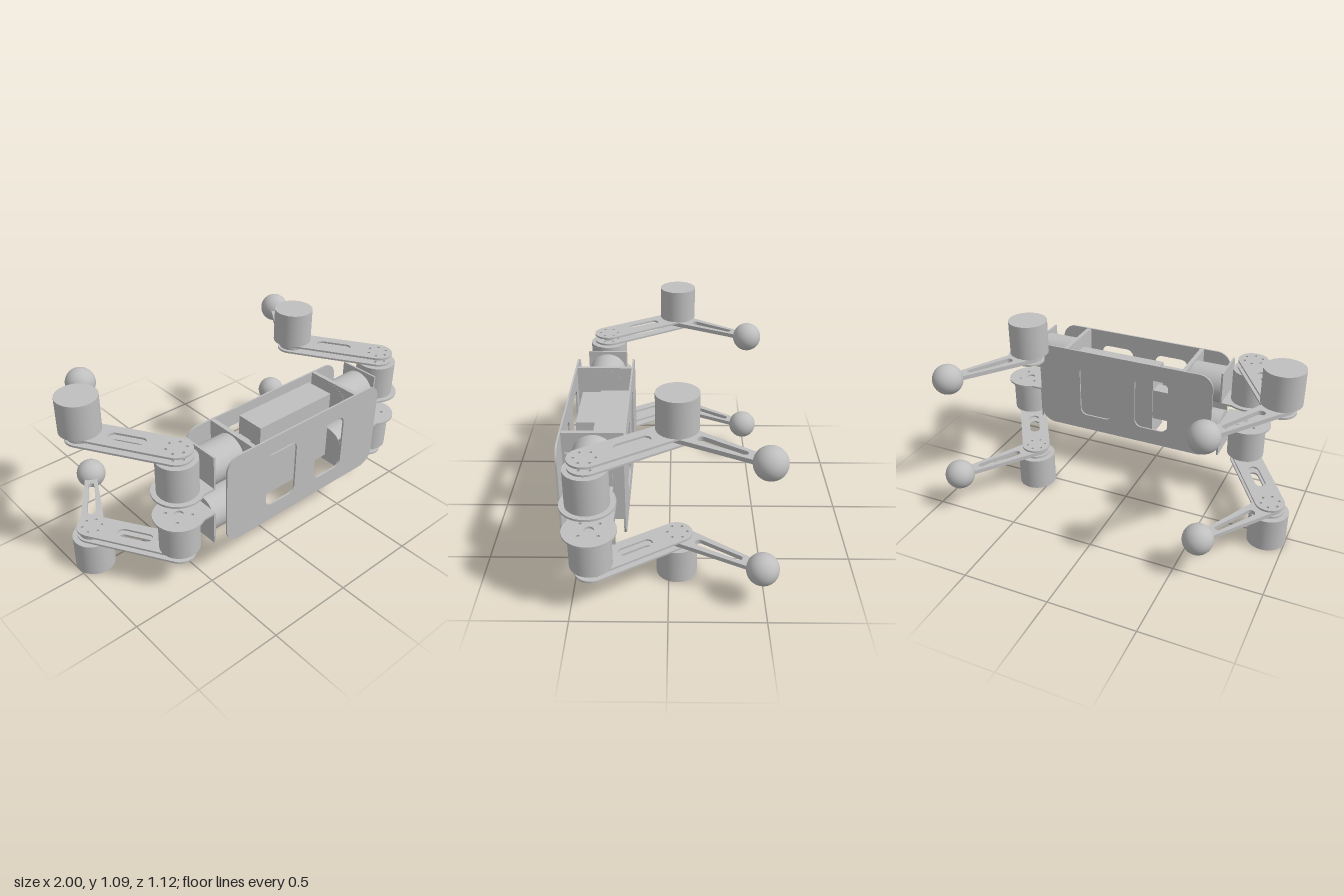
import * as THREE from 'three';

const MID_Y = 0.5425;   // the robot mirrors above and below this height
const MID_X = 0.118;    // centre of the chassis
const HIP_Z = 0.388;
const grey = new THREE.MeshStandardMaterial({ color: 0xbfbfbf });
grey.name = 'light grey';

function add(parent, name, geometry, x = 0, y = 0, z = 0) {
  const mesh = new THREE.Mesh(geometry, grey);
  mesh.name = name;
  mesh.position.set(x, y, z);
  parent.add(mesh);
  return mesh;
}

// Closed outlines
function roundedRect(target, x0, y0, x1, y1, r) {
  target.absarc(x1 - r, y0 + r, r, -Math.PI / 2, 0);
  target.absarc(x1 - r, y1 - r, r, 0, Math.PI / 2);
  target.absarc(x0 + r, y1 - r, r, Math.PI / 2, Math.PI);
  target.absarc(x0 + r, y0 + r, r, Math.PI, Math.PI * 1.5);
  target.closePath();
  return target;
}

function taperedLink(target, x0, x1, r0, r1) {
  const a = Math.acos((r0 - r1) / (x1 - x0));
  target.absarc(x0, 0, r0, a, Math.PI * 2 - a);
  target.absarc(x1, 0, r1, -a, a);
  target.closePath();
  return target;
}

function ringOfHoles(shape, cx, count, ring, r) {
  for (let i = 0; i < count; i++) {
    const a = ((i + 0.5) / count) * Math.PI * 2;
    shape.holes.push(new THREE.Path().absarc(cx + ring * Math.cos(a), ring * Math.sin(a), r, 0, Math.PI * 2));
  }
}

const extrude = (shape, depth) =>
  new THREE.ExtrudeGeometry(shape, { depth, bevelEnabled: false, curveSegments: 24 });

// Horizontal plate centred on y = 0: shape x, y become x, z
const flatPlate = (shape, depth, angle = 0) =>
  extrude(shape, depth).translate(0, 0, -depth / 2).rotateZ(angle).rotateX(Math.PI / 2);

function box(parent, name, x0, x1, y0, y1, z0, z1) {
  add(parent, name, new THREE.BoxGeometry(x1 - x0, y1 - y0, z1 - z0),
    (x0 + x1) / 2, (y0 + y1) / 2, (z0 + z1) / 2);
}

// Upright cylinder between two heights
function drum(parent, name, r, x, y0, y1, z) {
  add(parent, name, new THREE.CylinderGeometry(r, r, Math.abs(y1 - y0), 48), x, (y0 + y1) / 2, z);
}

function buildChassis() {
  const g = new THREE.Group();
  g.name = 'chassis';

  // Front and back plates with two windows each
  const panel = roundedRect(new THREE.Shape(), -0.446, 0.275, 0.682, 0.812, 0.085);
  for (const x of [-0.174, 0.193]) {
    panel.holes.push(roundedRect(new THREE.Path(), x, 0.376, x + 0.214, 0.713, 0.045));
  }
  add(g, 'frontPlate', extrude(panel, 0.01), 0, 0, 0.55);
  add(g, 'backPlate', extrude(panel, 0.01), 0, 0, 0.219);

  // Cross bulkheads with a cable window
  const wall = roundedRect(new THREE.Shape(), 0.229, 0.275, 0.55, 0.812, 0.002);
  wall.holes.push(roundedRect(new THREE.Path(), 0.287, 0.466, 0.49, 0.619, 0.03));
  for (const x of [-0.25, 0.511]) {
    add(g, 'bulkhead', extrude(wall, 0.025).rotateY(-Math.PI / 2), x);
  }

  // Electronics inside the frame
  box(g, 'battery', -0.073, 0.465, 0.33, 0.755, 0.229, 0.397);
  box(g, 'controller', -0.225, 0.145, 0.422, 0.666, 0.415, 0.522);
  box(g, 'regulator', -0.237, -0.073, 0.45, 0.64, 0.236, 0.322);
  return g;
}

// Shoulder motor, angle bracket and hip motor; side is -1 or 1 in x, s is up or down
function buildHip(side, s) {
  const g = new THREE.Group();
  g.name = 'hip';
  const Y = d => MID_Y + s * d;
  const X = d => MID_X + side * d;

  const shoulder = new THREE.CylinderGeometry(0.11, 0.11, 0.225, 48).rotateZ(Math.PI / 2);
  add(g, 'shoulderMotor', shoulder, X(0.479), Y(0.148), HIP_Z);

  // Flat bracket plate: a disc joined to a square end
  const disc = new THREE.Shape();
  disc.absarc(0, 0, 0.138, 1, Math.PI * 2 - 1);
  disc.lineTo(0.149, -0.115);
  disc.lineTo(0.149, 0.115);
  disc.closePath();
  disc.holes.push(new THREE.Path().absarc(0, 0, 0.025, 0, Math.PI * 2));
  ringOfHoles(disc, 0, 4, 0.07, 0.009);
  const plate = flatPlate(disc, 0.011);
  if (side > 0) plate.rotateY(Math.PI);
  add(g, 'bracketDisc', plate, X(0.741), Y(0.08), HIP_Z);
  add(g, 'bracketWall', new THREE.BoxGeometry(0.011, 0.2, 0.23), X(0.597), Y(0.175), HIP_Z);

  drum(g, 'hipMotor', 0.11, X(0.741), Y(0.0855), Y(0.283), HIP_Z);
  return g;
}

// Two thigh plates, knee motor, shin and ball foot
function buildLeg(hipX, s) {
  const g = new THREE.Group();
  g.name = 'leg';
  const Y = d => MID_Y + s * d;
  const kneeX = hipX - 0.269, kneeZ = -0.043, footZ = -0.476;

  const thighLength = Math.hypot(kneeX - hipX, kneeZ - HIP_Z);
  const thigh = taperedLink(new THREE.Shape(), 0, thighLength, 0.086, 0.083);
  thigh.holes.push(taperedLink(new THREE.Path(), 0.185, 0.325, 0.03, 0.0299));
  ringOfHoles(thigh, 0, 6, 0.053, 0.008);
  ringOfHoles(thigh, thighLength, 6, 0.053, 0.008);
  const thighAngle = Math.atan2(kneeZ - HIP_Z, kneeX - hipX);
  for (const d of [0.294, 0.335]) {
    add(g, 'thighPlate', flatPlate(thigh, 0.011, thighAngle), hipX, Y(d), HIP_Z);
  }
  drum(g, 'hipHorn', 0.035, hipX, Y(0.282), Y(0.33), HIP_Z);

  const shinLength = Math.hypot(hipX - kneeX, footZ - kneeZ);
  const shin = taperedLink(new THREE.Shape(), 0, shinLength, 0.07, 0.03);
  shin.holes.push(taperedLink(new THREE.Path(), 0.14, 0.375, 0.024, 0.017));
  const shinAngle = Math.atan2(footZ - kneeZ, hipX - kneeX);
  add(g, 'shin', flatPlate(shin, 0.024, shinAngle), kneeX, Y(0.315), kneeZ);

  drum(g, 'kneeHorn', 0.035, kneeX, Y(0.29), Y(0.347), kneeZ);
  drum(g, 'kneeMotor', 0.11, kneeX, Y(0.346), Y(0.5425), kneeZ);
  add(g, 'foot', new THREE.SphereGeometry(0.085, 40, 28), hipX, Y(0.315), footZ);
  return g;
}

export function createModel() {
  const model = new THREE.Group();
  model.name = 'fourLeggedRobot';
  model.add(buildChassis());
  for (const side of [-1, 1]) {
    for (const s of [-1, 1]) {
      model.add(buildHip(side, s));
      model.add(buildLeg(MID_X + side * 0.741, s));
    }
  }
  return model;
}
